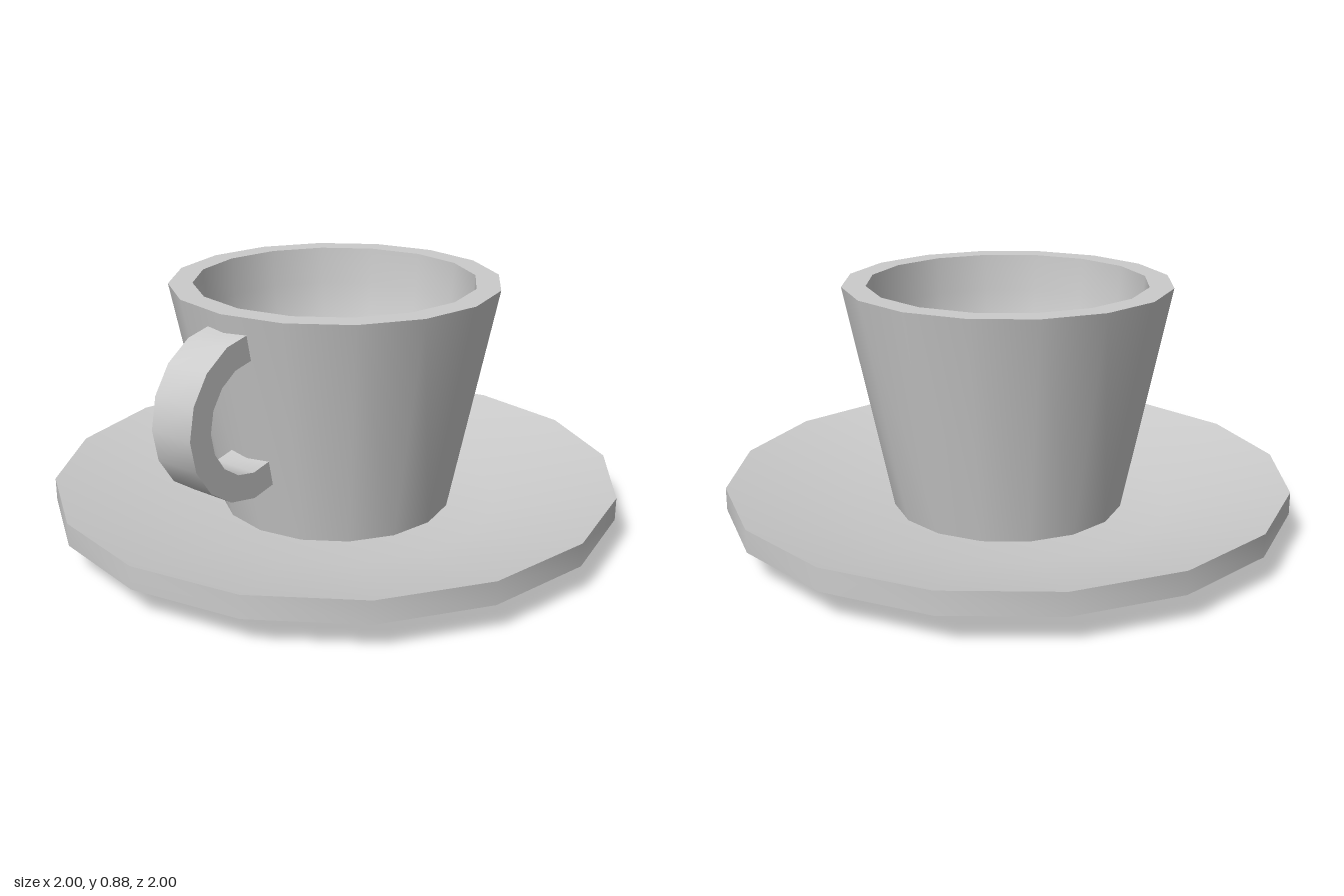
import * as THREE from 'three';
import { toCreasedNormals } from 'three/addons/utils/BufferGeometryUtils.js';

const SIDES = 16;
const material = new THREE.MeshStandardMaterial({ color: 0xcccccc });

function part(name, geometry) {
  const mesh = new THREE.Mesh(toCreasedNormals(geometry, 0.65), material);
  mesh.name = name;
  return mesh;
}

// Turned part from [radius, height] pairs, running from the underside up and back inside
function turned(name, profile) {
  const points = profile.map(([r, y]) => new THREE.Vector2(r, y));
  return part(name, new THREE.LatheGeometry(points, SIDES));
}

export function createModel() {
  const group = new THREE.Group();
  group.name = 'cupAndSaucer';

  // Shallow dished saucer with a thick upright rim
  group.add(turned('saucer', [
    [0, 0], [0.58, 0], [1, 0.1], [1, 0.18], [0.58, 0.08], [0, 0.08],
  ]));

  // Tapered cup with a flat lip and a rounded bowl inside
  const cup = [[0, 0.075], [0.41, 0.075], [0.573, 0.88], [0.49, 0.88]];
  const bowlSteps = 8;
  for (let i = 1; i <= bowlSteps; i++) {
    const a = (i / bowlSteps) * Math.PI / 2;
    cup.push([i === bowlSteps ? 0 : 0.49 * Math.cos(a), 0.88 - 0.68 * Math.sin(a)]);
  }
  group.add(turned('cup', cup));

  // Flat-sided ring handle whose ends sink into the cup wall
  const step = Math.PI / 8;
  const outer = [], inner = [];
  for (let i = 4; i <= 13; i++) {
    const c = Math.cos(i * step), s = Math.sin(i * step);
    outer.push(new THREE.Vector2(0.28 * c, 0.28 * s));
    inner.unshift(new THREE.Vector2(0.19 * c, 0.19 * s));
  }
  const width = 0.166;
  const ring = new THREE.ExtrudeGeometry(new THREE.Shape([...outer, ...inner]), {
    depth: width, bevelEnabled: false,
  });
  ring.translate(-0.525, 0.543, -width / 2);
  group.add(part('handle', ring));

  return group;
}
